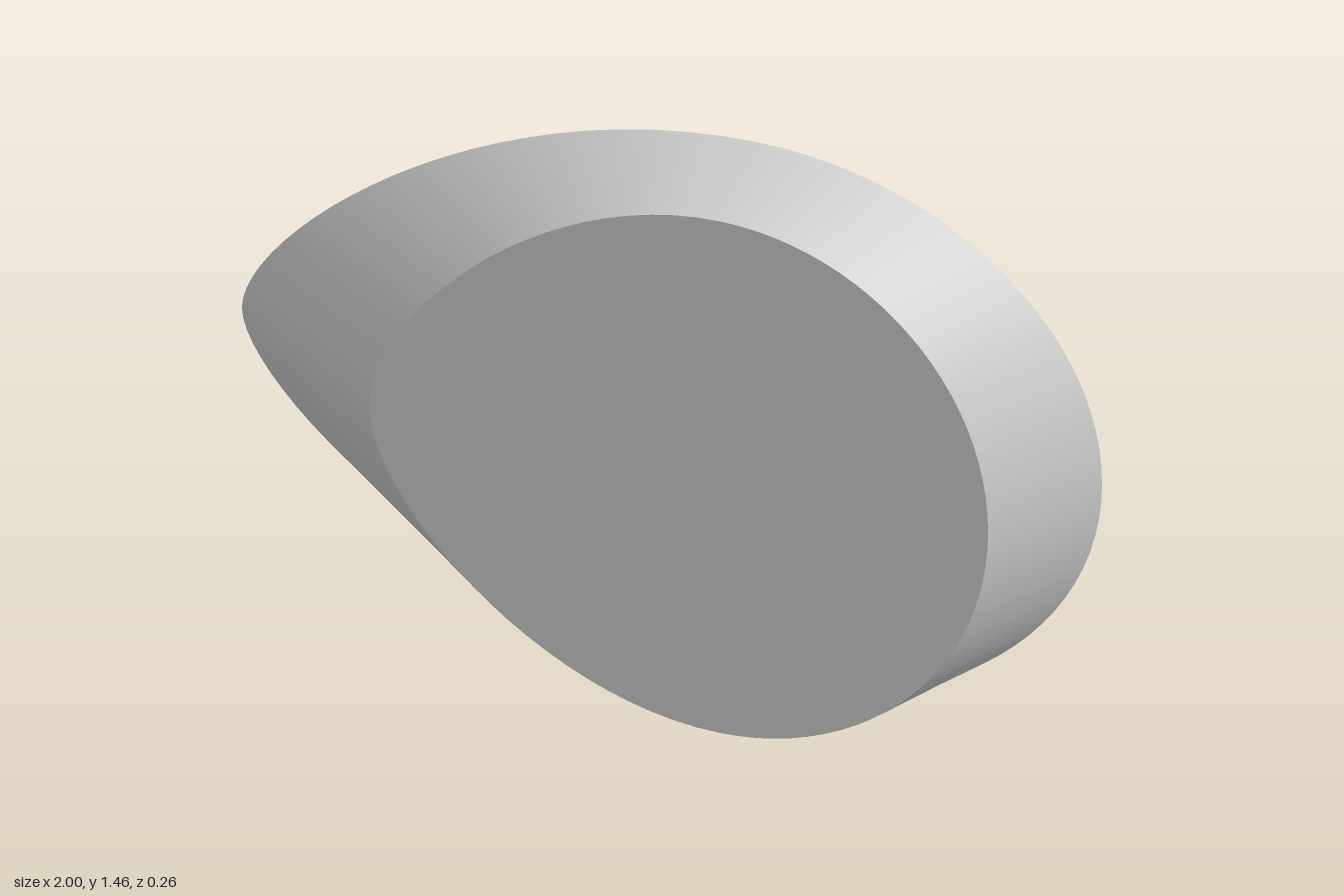
import * as THREE from 'three';

const MID = 0.73; // height of the symmetry axis
const HALF_DEPTH = 0.128;

// Egg outline, counter-clockwise: round end at +x, narrow end at -x
function eggShape({ left, right, half, topHandle, tipHandle }) {
  const cx = 0.2, k = 0.5523;
  const rx = right - cx;
  const top = MID + half, bottom = MID - half;
  const s = new THREE.Shape();
  s.moveTo(right, MID);
  s.bezierCurveTo(right, MID + half * k, cx + rx * k, top, cx, top);
  s.bezierCurveTo(cx - topHandle, top, left, MID + tipHandle, left, MID);
  s.bezierCurveTo(left, MID - tipHandle, cx - topHandle, bottom, cx, bottom);
  s.bezierCurveTo(cx + rx * k, bottom, right, MID - half * k, right, MID);
  return s;
}

// Smooth wall lofted between the two outlines
function loft(backShape, frontShape, steps) {
  const back = backShape.getPoints(steps).slice(0, steps * 4);
  const front = frontShape.getPoints(steps).slice(0, steps * 4);
  const n = back.length;
  const pos = [], index = [];
  back.forEach((p) => pos.push(p.x, p.y, -HALF_DEPTH));
  front.forEach((p) => pos.push(p.x, p.y, HALF_DEPTH));
  for (let i = 0; i < n; i++) {
    const j = (i + 1) % n;
    index.push(i, j, n + j, i, n + j, n + i);
  }
  const g = new THREE.BufferGeometry();
  g.setAttribute('position', new THREE.Float32BufferAttribute(pos, 3));
  g.setIndex(index);
  g.computeVertexNormals();
  return g;
}

export function createModel() {
  const group = new THREE.Group();
  group.name = 'taperedEgg';
  const material = new THREE.MeshStandardMaterial({ color: 0xcccccc });
  const steps = 24;

  const backShape = eggShape({ left: -1, right: 1, half: 0.73, topHandle: 0.66, tipHandle: 0.2 });
  const frontShape = eggShape({ left: -0.615, right: 0.825, half: 0.69, topHandle: 0.43, tipHandle: 0.24 });

  const add = (name, geometry) => {
    const mesh = new THREE.Mesh(geometry, material);
    mesh.name = name;
    group.add(mesh);
    return mesh;
  };

  // Sloping rim
  add('slopedWall', loft(backShape, frontShape, steps));

  // Smaller front face
  add('frontFace', new THREE.ShapeGeometry(frontShape, steps)).position.z = HALF_DEPTH;

  // Larger back face, turned about the horizontal axis to face -z
  const backFace = new THREE.ShapeGeometry(backShape, steps);
  backFace.translate(0, -MID, 0).rotateX(Math.PI).translate(0, MID, -HALF_DEPTH);
  add('backFace', backFace);

  return group;
}
